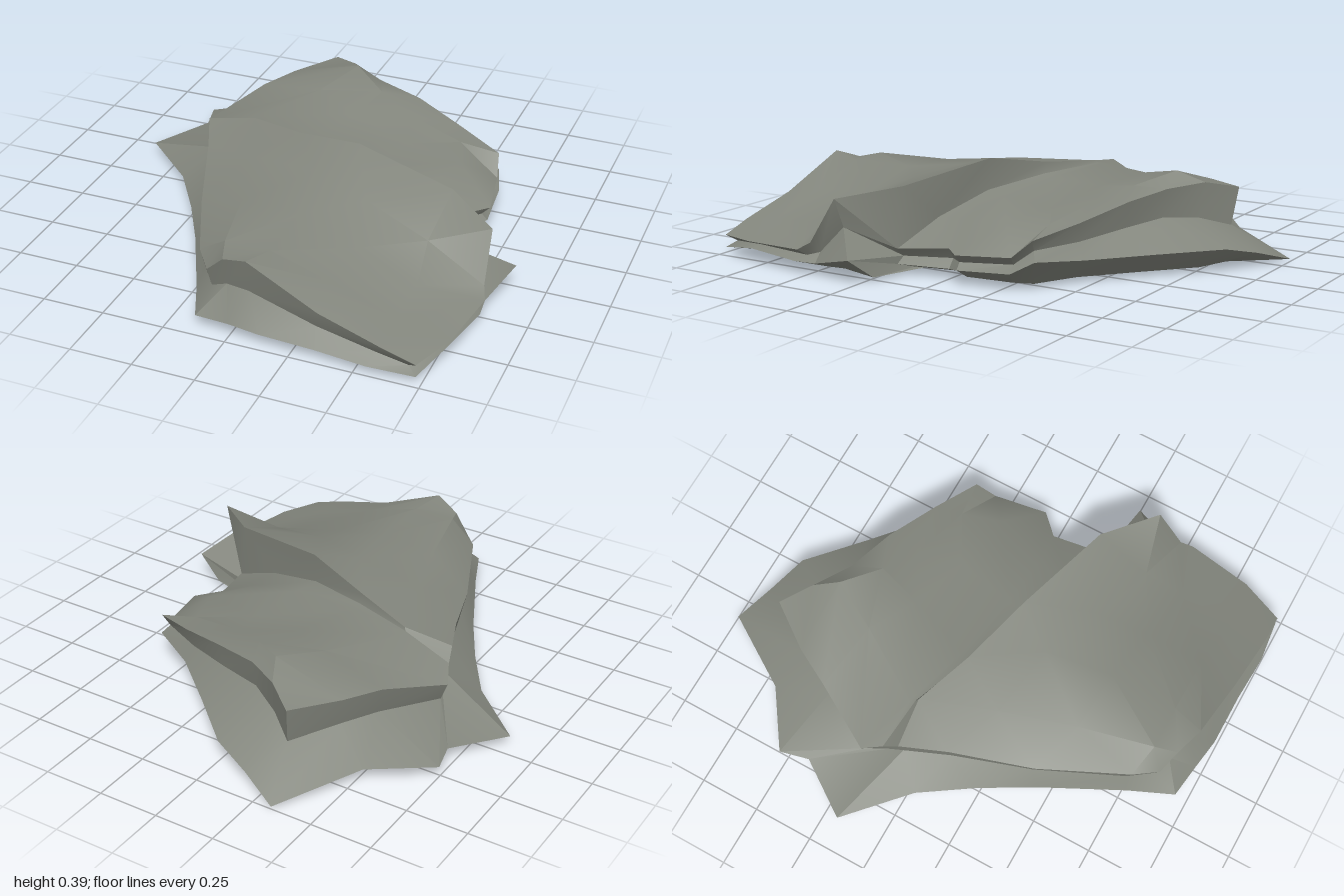
import * as THREE from 'three';
import { toCreasedNormals } from 'three/addons/utils/BufferGeometryUtils.js';

// Skin a surface over rows of [x, y, z] points.
function loft(rows, crease) {
  const n = rows[0].length;
  const index = [];
  for (let i = 0; i < rows.length - 1; i++) {
    for (let j = 0; j < n - 1; j++) {
      const a = i * n + j, b = a + n;
      index.push(a, b, a + 1, b, b + 1, a + 1);
    }
  }
  const geometry = new THREE.BufferGeometry();
  geometry.setAttribute('position', new THREE.Float32BufferAttribute(rows.flat(2), 3));
  geometry.setIndex(index);
  return toCreasedNormals(geometry, crease);
}

export function createModel() {
  const group = new THREE.Group();
  const stone = new THREE.MeshStandardMaterial({ color: 0x84877e, side: THREE.DoubleSide });
  stone.name = 'grey stone';

  const add = (name, rows, crease) => {
    const mesh = new THREE.Mesh(loft(rows, crease), stone);
    mesh.name = name;
    group.add(mesh);
  };

  // Rear layer: cross-sections from the back edge to the foot of the ridge
  const rear = [
    [[-.27, .29, -.80], [-.15, .32, -.71], [0, .31, -.62], [.20, .29, -.56], [.42, .24, -.47], [.61, .20, -.38]],
    [[-.40, .28, -.62], [-.10, .365, -.61], [.05, .32, -.50], [.20, .28, -.42], [.45, .23, -.36], [.63, .13, -.30]],
    [[-.48, .27, -.47], [-.20, .32, -.42], [0, .29, -.32], [.25, .24, -.25], [.50, .23, -.20], [.67, .12, -.08]],
    [[-.62, .20, -.22], [-.38, .30, -.13], [-.10, .28, -.05], [.20, .25, 0], [.42, .20, .02], [.59, .12, 0]],
    [[-.58, .24, -.14], [-.37, .30, -.11], [-.10, .29, -.01], [.17, .26, .09], [.42, .19, .16], [.63, .10, .21]],
  ];

  // Front layer: ridge crest, then the slope down to the front edge
  const front = [
    [[-.56, .28, -.08], [-.36, .31, -.10], [-.12, .335, -.01], [.17, .39, .08], [.60, .34, .20], [.81, .31, .37]],
    [[-.48, .26, .10], [-.25, .31, .20], [.05, .33, .25], [.30, .31, .35], [.58, .24, .43], [.82, .13, .48]],
    [[-.36, .20, .42], [-.15, .29, .50], [.10, .30, .52], [.35, .23, .56], [.60, .15, .60], [.84, .10, .53]],
    [[-.20, .22, .77], [-.08, .30, .80], [.10, .30, .80], [.35, .22, .80], [.60, .14, .82], [.80, .09, .80]],
    [[-.13, .20, .86], [-.05, .28, .89], [.06, .32, .93], [.35, .19, .96], [.60, .12, .98], [.73, .08, .98]],
  ];

  add('rearLayer', rear, 0.6);
  add('frontLayer', [rear[4], ...front], 0.6);

  // Upper rim: walk round the edges of both layers
  const all = [...rear, ...front];
  const last = all.length - 1;
  const rim = [
    ...all[0],
    ...all.slice(1).map((row) => row[5]),
    ...all[last].slice(0, 5).reverse(),
    ...all.slice(1, last).reverse().map((row) => row[0]),
  ];

  // Jagged footprint, one point for each rim point
  const foot = [
    [-.33, .01, -1], [-.17, .06, -.93], [-.01, .10, -.87], [.20, .10, -.68], [.42, .10, -.49], [.61, .12, -.39],
    [.64, .07, -.30], [.66, .06, -.08], [.59, .04, 0], [.63, .04, .21], [.88, .10, .26], [.82, .05, .46],
    [.83, .05, .55], [.79, .06, .80], [.73, .03, .98],
    [.55, .04, 1], [.35, .05, .99], [.13, .06, .99], [0, .06, .97], [-.14, .05, .95],
    [-.22, .05, .77], [-.38, .04, .45], [-.50, .04, .24], [-.64, .04, .03], [-.88, .04, -.19],
    [-.73, .06, -.41], [-.76, .06, -.53], [-.53, .06, -.69],
  ];

  // Undercut below the rim, so the upper layers overhang
  const undercut = rim.map(([x, y, z], i) => [x * 0.95, foot[i][1] + (y - foot[i][1]) * 0.45, z * 0.97]);
  const sole = foot.map(([x, , z]) => [x * 0.87, 0.015, z * 0.87]);
  const centre = foot.map(() => [0, 0, 0]);
  const close = (ring) => [...ring, ring[0]];

  add('ruggedSides', [foot, undercut, rim].map(close), 0.45);
  add('underside', [centre, sole, foot].map(close), 0.6);
  return group;
}
